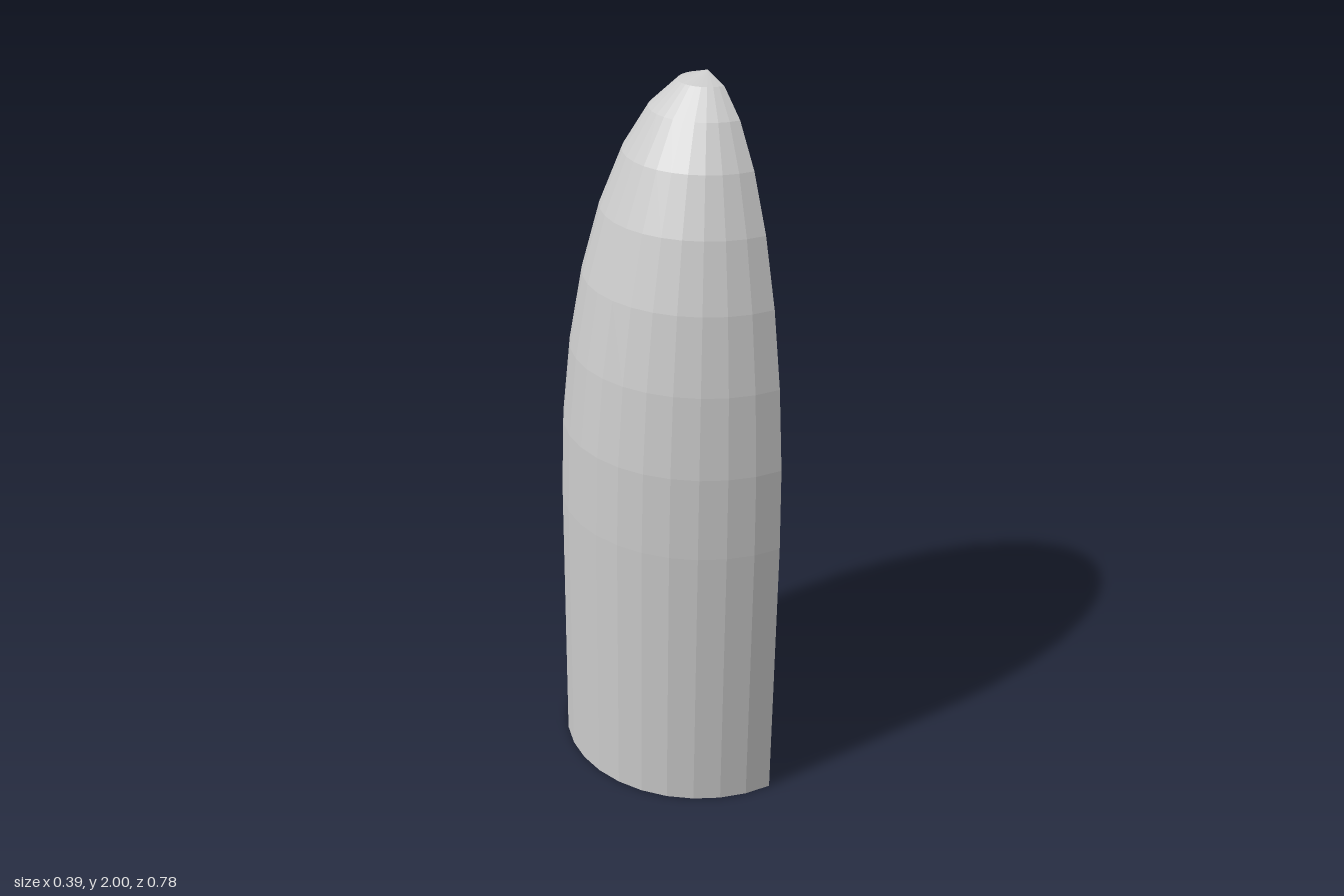
import * as THREE from 'three';

const RADIUS = 0.39, SHOULDER = 0.8, HEIGHT = 2, STEPS = 8;

export function createModel() {
  const group = new THREE.Group();
  group.name = 'halfDome';
  const material = new THREE.MeshStandardMaterial({ color: 0xcccccc, flatShading: true });
  const add = (name, geometry) => {
    const mesh = new THREE.Mesh(geometry, material);
    mesh.name = name;
    mesh.position.x = RADIUS / 2;
    group.add(mesh);
  };

  // Profile: straight wall, then a quarter ellipse up to the tip
  const profile = [new THREE.Vector2(RADIUS, 0)];
  for (let i = 0; i <= STEPS; i++) {
    const a = (i / STEPS) * Math.PI / 2;
    profile.push(new THREE.Vector2(
      i === STEPS ? 0 : RADIUS * Math.cos(a),
      SHOULDER + (HEIGHT - SHOULDER) * Math.sin(a)));
  }

  // Curved shell, half a turn on the -x side
  add('curvedShell', new THREE.LatheGeometry(profile, STEPS * 2, Math.PI, Math.PI));

  // Flat cut face, facing +x
  const mirrored = profile.slice(0, -1).reverse().map((p) => new THREE.Vector2(-p.x, p.y));
  const face = new THREE.Shape([...profile, ...mirrored]);
  add('flatFace', new THREE.ShapeGeometry(face).rotateY(Math.PI / 2));

  // Half-round underside
  add('base', new THREE.CircleGeometry(RADIUS, STEPS * 2, Math.PI / 2, Math.PI).rotateX(Math.PI / 2));

  return group;
}
